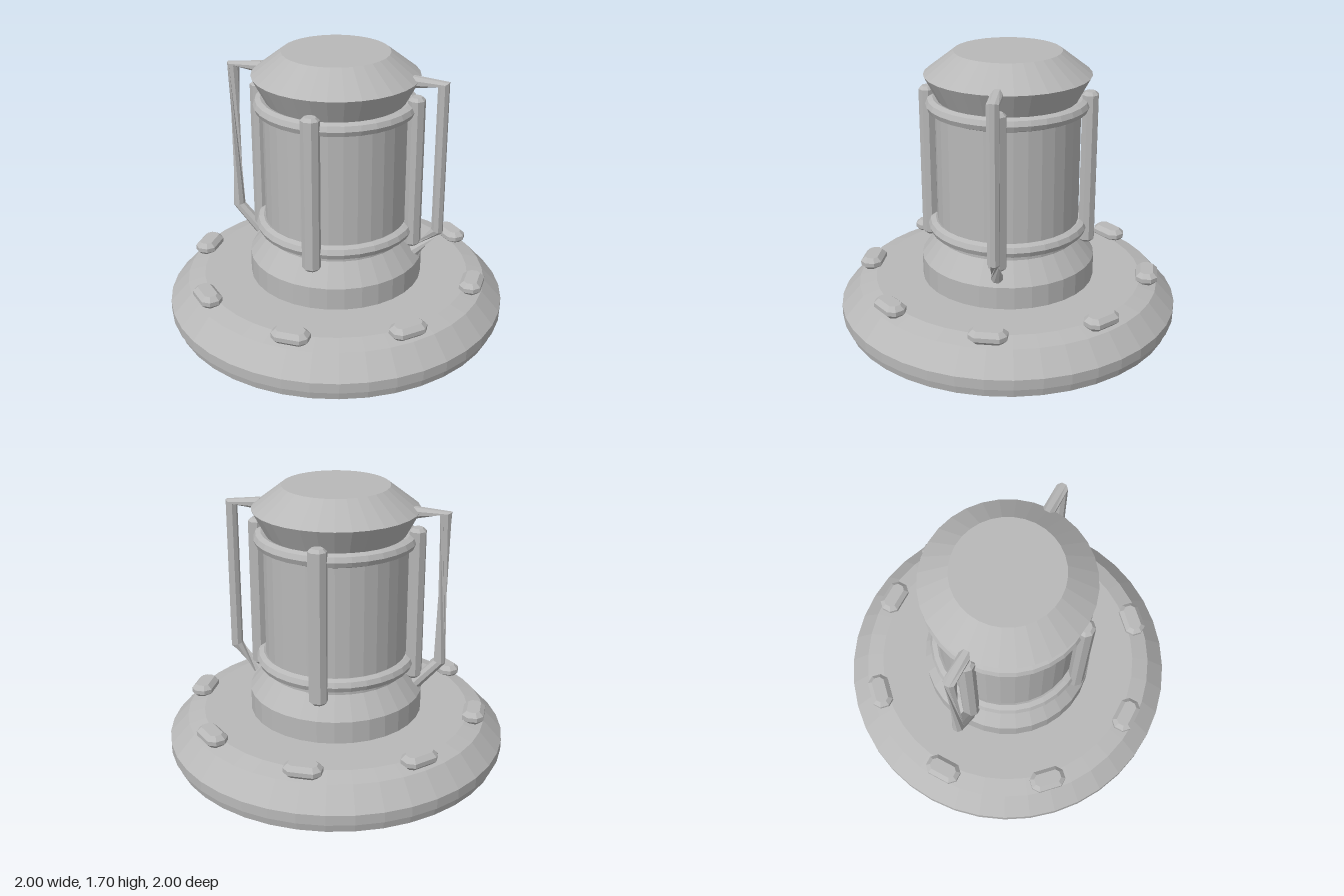
import * as THREE from 'three';

const metal = new THREE.MeshStandardMaterial({ color: 0xb8b8b8, flatShading: true });
metal.name = 'grey metal';

function part(name, geometry) {
  const mesh = new THREE.Mesh(geometry, metal);
  mesh.name = name;
  return mesh;
}

// Turned solid from a bottom-to-top outline of [radius, height]
function turned(name, outline, sides = 32) {
  return part(name, new THREE.LatheGeometry(outline.map(([r, y]) => new THREE.Vector2(r, y)), sides));
}

// Upright block with cut corners and chamfered ends, spanning y0 to y1
function chamferedBlock(w, d, y0, y1, cut, bevel) {
  const x = w / 2, y = d / 2;
  const shape = new THREE.Shape([
    [x, y - cut], [x - cut, y], [cut - x, y], [-x, y - cut],
    [-x, cut - y], [cut - x, -y], [x - cut, -y], [x, cut - y],
  ].map(([a, b]) => new THREE.Vector2(a, b)));
  const geo = new THREE.ExtrudeGeometry(shape, {
    depth: y1 - y0 - 2 * bevel, bevelEnabled: true, bevelSegments: 1,
    bevelThickness: bevel, bevelSize: bevel, bevelOffset: -bevel,
  });
  return geo.rotateX(-Math.PI / 2).translate(0, y0 + bevel, 0);
}

// Bent rod through rings of [x, y, tilt in degrees, twist in steps]
function rod(side, rings, radius = 0.036, sides = 8) {
  const pos = [], index = [];
  const tri = (a, b, c) => (side > 0 ? index.push(a, b, c) : index.push(a, c, b));
  rings.forEach(([x, y, tilt, twist], r) => {
    const t = THREE.MathUtils.degToRad(tilt);
    for (let i = 0; i < sides; i++) {
      const a = ((i + twist + 0.5) / sides) * Math.PI * 2;
      const u = Math.cos(a) * radius;
      pos.push(side * (x + u * Math.cos(t)), y + u * Math.sin(t), Math.sin(a) * radius);
      if (r === 0) continue;
      const j = (i + 1) % sides, p = (r - 1) * sides, q = r * sides;
      tri(p + i, p + j, q + i);
      tri(p + j, q + j, q + i);
    }
  });
  // End caps
  const last = (rings.length - 1) * sides;
  for (let i = 1; i < sides - 1; i++) {
    tri(0, i + 1, i);
    tri(last, last + i, last + i + 1);
  }
  const geo = new THREE.BufferGeometry();
  geo.setAttribute('position', new THREE.Float32BufferAttribute(pos, 3));
  geo.setIndex(index);
  geo.computeVertexNormals();
  return geo;
}

export function createModel() {
  const model = new THREE.Group();
  model.name = 'lantern';

  // Broad base, neck, drum and lid
  model.add(
    turned('base', [[0, 0], [0.82, 0], [0.975, 0.085], [0.985, 0.135], [1, 0.14],
      [1, 0.2], [0.89, 0.32], [0.79, 0.348], [0, 0.348]], 40),
    turned('neck', [[0.51, 0.34], [0.51, 0.48], [0.395, 0.63], [0, 0.63]]),
    turned('drum', [[0, 0.6], [0.415, 0.6], [0.415, 1.43], [0, 1.43]]),
    turned('lid', [[0, 1.4], [0.385, 1.4], [0.475, 1.57], [0.305, 1.7], [0, 1.7]]),
  );

  // Hoops around the drum
  for (const y of [0.67, 1.4]) {
    const hoop = part('hoop', new THREE.TorusGeometry(0.427, 0.041, 8, 32).rotateX(Math.PI / 2));
    hoop.position.y = y;
    model.add(hoop);
  }

  // Four upright guard bars
  const barGeo = chamferedBlock(0.1, 0.09, 0.57, 1.48, 0.028, 0.018).translate(0, 0, 0.465);
  for (let i = 0; i < 4; i++) {
    const bar = part('guardBar', barGeo);
    bar.rotation.y = (i * Math.PI) / 2;
    model.add(bar);
  }

  // Eight lugs on the base
  const lugGeo = chamferedBlock(0.21, 0.125, 0.33, 0.405, 0.035, 0.025).translate(0, 0, 0.83);
  for (let i = 0; i < 8; i++) {
    const lug = part('lug', lugGeo);
    lug.rotation.y = (i * Math.PI) / 4;
    model.add(lug);
  }

  // Side handles, each with one twisted length
  model.add(
    part('leftHandle', rod(1, [[0.44, 1.565, 90, 0], [0.61, 1.563, 25, 0],
      [0.61, 0.68, -18, 0], [0.48, 0.53, -45, 3]])),
    part('rightHandle', rod(-1, [[0.44, 1.565, 90, 0], [0.615, 1.57, 15, 0],
      [0.615, 0.68, -12, 3], [0.48, 0.53, -45, 3]])),
  );
  return model;
}
